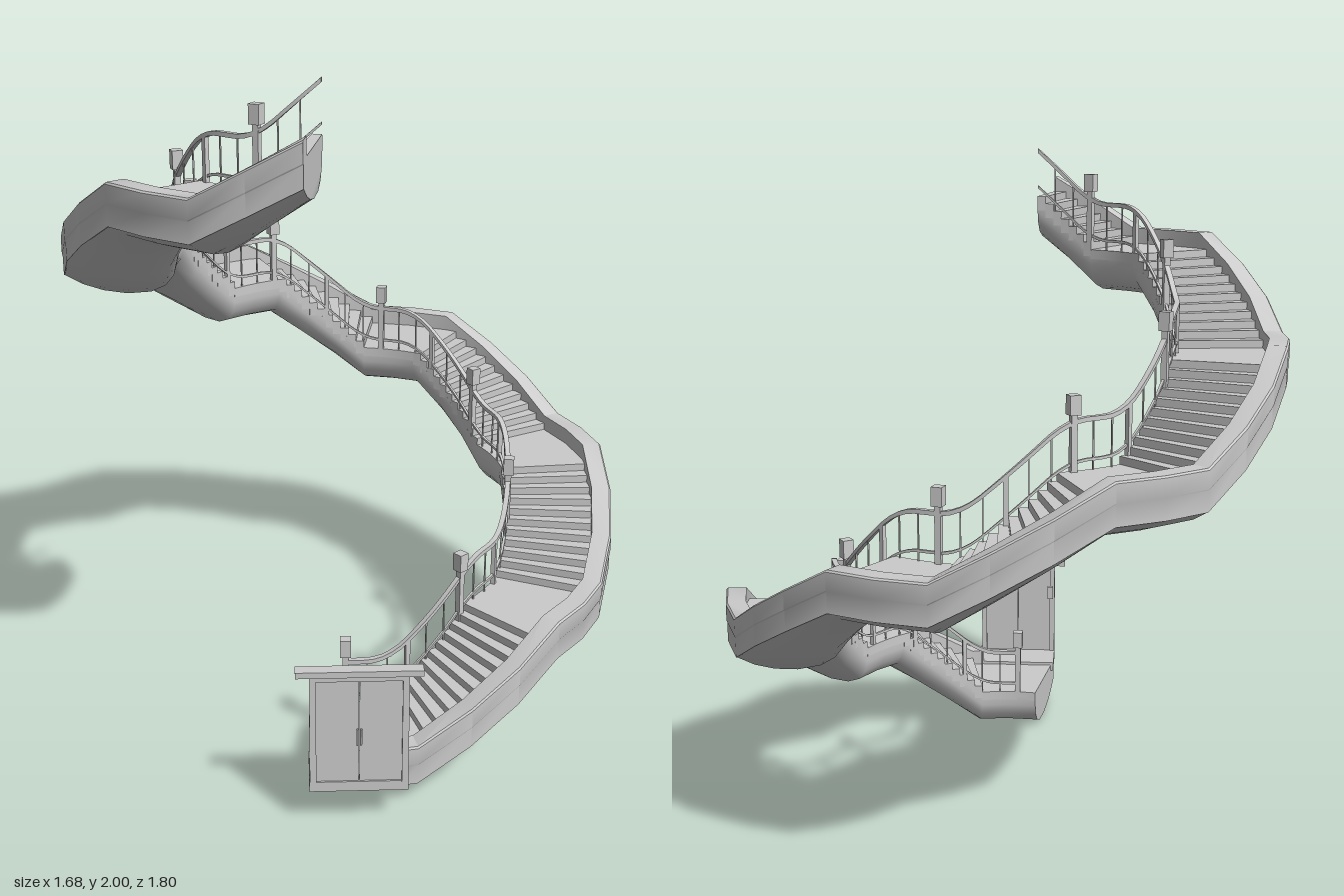
import * as THREE from 'three';
import { toCreasedNormals } from 'three/addons/utils/BufferGeometryUtils.js';

const ZC = -0.055;                 // stair axis offset in z
const LAND = 20, FLIGHT = 33;      // degrees of each landing and flight
const PERIOD = LAND + FLIGHT, START = 1, END = 360;
const BASE = 0.14, RISE = 0.258, STEPS = 11;
const R_IN = 0.51, R_WALL = 0.785, R_OUT = 0.845;
const mat = new THREE.MeshStandardMaterial({ color: 0xcccccc });
const rad = THREE.MathUtils.degToRad;

// Height of the walking line at angle a (degrees)
function height(a) {
  const t = Math.max(0, a - START), k = Math.floor(t / PERIOD);
  return BASE + RISE * (k + Math.max(0, t - k * PERIOD - LAND) / FLIGHT);
}
// The same line with rounded bends, for the railing
function softHeight(a) {
  let s = 0;
  for (let d = -6; d <= 6; d += 2) s += height(a + d);
  return s / 7;
}
const point = (r, a, y) => [r * Math.sin(rad(a)), y, ZC + r * Math.cos(rad(a))];

function range(from, to, n) {
  return Array.from({ length: n + 1 }, (_, i) => from + (to - from) * i / n);
}

// Sweep a counter-clockwise (radius, y) section round the axis, with end caps
function sweep(name, section, angles, h, crease = 0.6) {
  const pos = [], n = section.length;
  const rings = angles.map(a => section.map(([r, y]) => point(r, a, y + h(a))));
  const tri = (a, b, c) => pos.push(...a, ...b, ...c);
  for (let i = 0; i < rings.length - 1; i++) {
    for (let j = 0; j < n; j++) {
      const k = (j + 1) % n;
      const a = rings[i][j], b = rings[i][k], c = rings[i + 1][k], d = rings[i + 1][j];
      tri(a, d, c);
      tri(a, c, b);
    }
  }
  const last = rings[rings.length - 1];
  const contour = section.map(p => new THREE.Vector2(...p));
  for (const [a, b, c] of THREE.ShapeUtils.triangulateShape(contour, [])) {
    tri(rings[0][a], rings[0][b], rings[0][c]);
    tri(last[a], last[c], last[b]);
  }
  const geo = new THREE.BufferGeometry();
  geo.setAttribute('position', new THREE.Float32BufferAttribute(pos, 3));
  const mesh = new THREE.Mesh(toCreasedNormals(geo, crease), mat);
  mesh.name = name;
  return mesh;
}

const rect = (r0, r1, y0, y1) => [[r0, y1], [r0, y0], [r1, y0], [r1, y1]];

function box(name, w, h, d, x, y, z) {
  const m = new THREE.Mesh(new THREE.BoxGeometry(w, h, d), mat);
  m.name = name;
  m.position.set(x, y, z);
  return m;
}

// Upright on the inner edge, from the steps to a given height above them
function upright(name, a, size, from, to) {
  const m = box(name, size, to - from, size, ...point(R_IN + 0.006, a, softHeight(a) + (from + to) / 2));
  m.rotation.y = rad(a);
  return m;
}

function createGate() {
  const gate = new THREE.Group();
  gate.name = 'entranceGate';
  gate.position.z = ZC;
  gate.rotation.y = rad(9.3);
  gate.add(box('threshold', 0.272, 0.03, 0.15, 0, 0.135, 0.85));
  gate.add(box('lintel', 0.345, 0.018, 0.035, 0, 0.491, 0.918));
  gate.add(box('lowerBeam', 0.27, 0.016, 0.02, 0, 0.472, 0.915));
  for (const s of [-1, 1]) {
    gate.add(box('doorLeaf', 0.117, 0.32, 0.01, s * 0.0595, 0.31, 0.915));
    gate.add(box('doorHandle', 0.004, 0.05, 0.008, s * 0.006, 0.29, 0.922));
    gate.add(box('gatePost', 0.018, 0.335, 0.026, s * 0.126, 0.315, 0.915));
    gate.add(box('lampBracket', 0.008, 0.008, 0.04, s * 0.12, 0.38, 0.885));
    gate.add(box('lamp', 0.02, 0.045, 0.02, s * 0.12, 0.39, 0.868));
  }
  return gate;
}

export function createModel() {
  const group = new THREE.Group();

  // Angles of the coarse outer structure: two spans per landing, three per flight
  const angles = [0];
  for (let a = START; a < END; a += PERIOD) {
    angles.push(a + LAND / 2, ...range(a + LAND, a + PERIOD, 3));
  }
  const coarse = angles.filter(a => a < END).concat(END);

  // Rounded structural underside
  group.add(sweep('underside', [
    [R_IN, -0.012], [R_IN, -0.05], [0.52, -0.085], [0.545, -0.115], [0.59, -0.133],
    [0.66, -0.135], [0.73, -0.122], [0.79, -0.1], [0.84, -0.07], [0.84, -0.012],
  ], coarse, height, 0.9));

  // Outer parapet, open at the gate
  group.add(sweep('parapet', [
    [R_WALL, 0.05], [R_WALL, -0.06], [0.84, -0.07], [R_OUT - 0.002, -0.07],
    [R_OUT - 0.002, -0.01], [R_OUT, -0.006], [R_OUT, 0.045], [R_OUT - 0.005, 0.05],
  ], [18, ...coarse.filter(a => a > 18)], height, 0.5));

  // Landings and steps
  const d = FLIGHT / STEPS;
  for (let a = START; a < END; a += PERIOD) {
    const y = height(a + 1), from = a === START ? 0 : a;
    group.add(sweep('landing', rect(R_IN - 0.002, 0.8, -0.03, 0), range(from, a + LAND, 6), () => y));
    for (let j = 0; j < STEPS; j++) {
      const s = a + LAND + j * d;
      if (s > END - 1) break;
      const top = y + (j + 1) * RISE / STEPS;
      group.add(sweep('step', rect(R_IN - 0.002, 0.8, -0.045, 0), range(s, Math.min(s + d, END), 1), () => top));
    }
  }
  // Landing edge under the gate
  group.add(sweep('entranceEdge', rect(0.79, 0.84, -0.03, 0), range(0, 18, 2), height));

  // Inner railing: handrail, foot rail, capped posts, plain posts and thin bars
  const fine = range(7, END, 118);
  group.add(sweep('handrail', rect(0.507, 0.523, 0.137, 0.15), fine, softHeight, 1));
  group.add(sweep('footRail', rect(0.511, 0.519, 0.026, 0.034), fine, softHeight, 1));
  const gap = 41.6;
  for (let a = 7; a < END; a += gap) {
    group.add(upright('newelPost', a, 0.018, -0.02, 0.17));
    group.add(upright('newelCap', a, 0.032, 0.165, 0.22));
    for (let i = 1; i < 6; i++) {
      const b = a + gap * i / 6;
      if (b > END) break;
      if (i === 3) group.add(upright('post', b, 0.014, -0.02, 0.142));
      else group.add(upright('bar', b, 0.004, -0.01, 0.14));
    }
  }

  group.add(createGate());
  return group;
}
